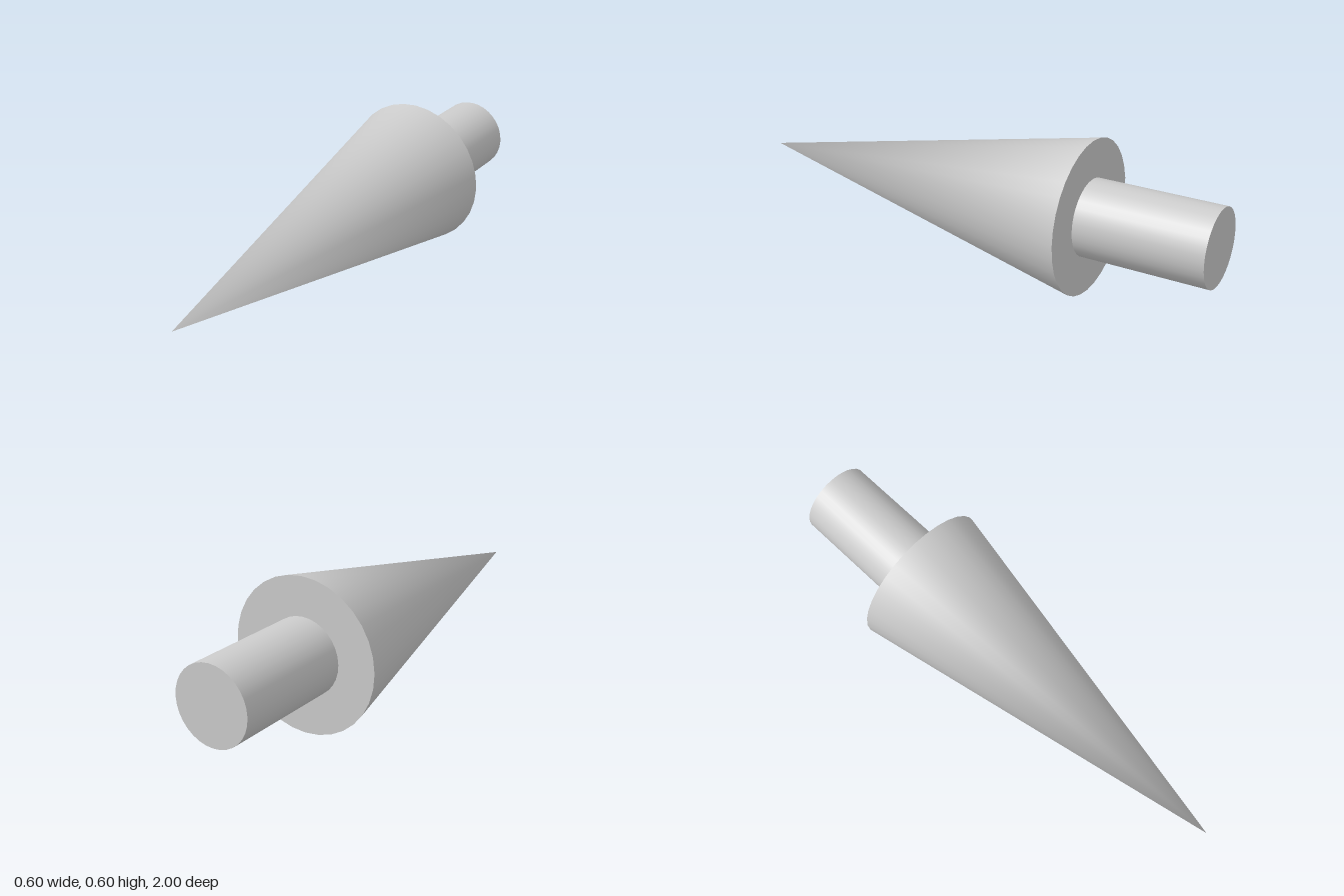
import * as THREE from 'three';

const SIDES = 32;
const AXIS_HEIGHT = 0.3;

export function createModel() {
  const model = new THREE.Group();
  const material = new THREE.MeshStandardMaterial({ color: 0xcccccc });

  // Lays an upright round part along z, centred at the given z.
  const addPart = (name, geometry, z) => {
    geometry.rotateX(Math.PI / 2);
    const mesh = new THREE.Mesh(geometry, material);
    mesh.name = name;
    mesh.position.set(0, AXIS_HEIGHT, z);
    model.add(mesh);
  };

  // Pointed head; the tip shares one normal along the axis for soft shading.
  const head = new THREE.ConeGeometry(0.3, 1.5, SIDES);
  const { position, normal } = head.attributes;
  for (let i = 0; i < position.count; i++) {
    if (position.getY(i) > 0.7) normal.setXYZ(i, 0, 1, 0);
  }
  addPart('head', head, 0.25);

  // Short shaft behind the head
  addPart('shaft', new THREE.CylinderGeometry(0.15, 0.15, 0.5, SIDES), -0.75);

  return model;
}
